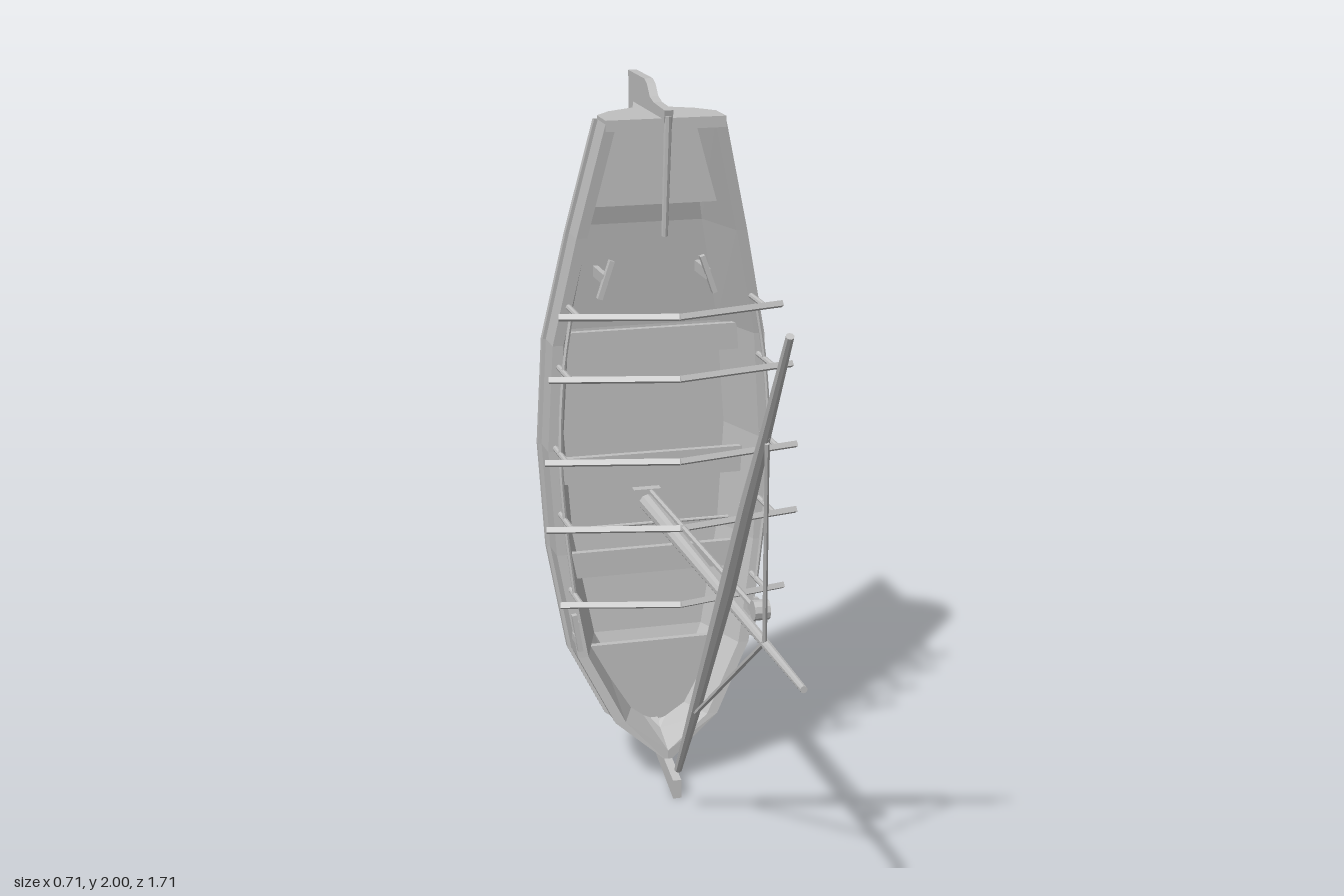
import * as THREE from 'three';

const V = (x, y, z) => new THREE.Vector3(x, y, z);
const wood = new THREE.MeshStandardMaterial({ color: 0xc0c0c0, side: THREE.DoubleSide, flatShading: true });
wood.name = 'grey wood';

// Hull stations: y, rail half width, rail z, upper chine x z, lower chine x z, keel z, floor half width, floor z
const STATIONS = [
  [0.2, 0.15, -0.505, 0.125, -0.65, 0.07, -0.73, -0.795, 0.06, -0.66],
  [0.4, 0.25, -0.53, 0.22, -0.68, 0.14, -0.77, -0.85, 0.16, -0.72],
  [0.7, 0.3, -0.555, 0.27, -0.7, 0.18, -0.78, -0.853, 0.215, -0.74],
  [1.0, 0.317, -0.562, 0.285, -0.71, 0.19, -0.785, -0.853, 0.235, -0.74],
  [1.3, 0.3, -0.556, 0.265, -0.71, 0.18, -0.785, -0.852, 0.215, -0.74],
  [1.6, 0.238, -0.517, 0.2, -0.67, 0.12, -0.76, -0.847, 0.16, -0.7],
  [1.91, 0.165, -0.47, 0.12, -0.63, 0.04, -0.68, -0.84, 0.1, -0.61],
];

// Skin between matching rings of points
function loft(rings) {
  const pos = [];
  for (let i = 0; i + 1 < rings.length; i++) {
    const a = rings[i], b = rings[i + 1], n = a.length;
    for (let j = 0; j < n; j++) {
      const k = (j + 1) % n;
      for (const p of [a[j], b[j], b[k], a[j], b[k], a[k]]) pos.push(p.x, p.y, p.z);
    }
  }
  const g = new THREE.BufferGeometry();
  g.setAttribute('position', new THREE.Float32BufferAttribute(pos, 3));
  g.computeVertexNormals();
  return g;
}

// Interpolated rail half width and height at a station y
function railAt(y) {
  let i = 0;
  while (i < STATIONS.length - 2 && STATIONS[i + 1][0] < y) i++;
  const a = STATIONS[i], b = STATIONS[i + 1], t = (y - a[0]) / (b[0] - a[0]);
  return { w: a[1] + (b[1] - a[1]) * t, z: a[2] + (b[2] - a[2]) * t };
}

export function createModel() {
  const model = new THREE.Group();
  model.name = 'sailingBoat';
  const add = (name, geometry) => {
    const mesh = new THREE.Mesh(geometry, wood);
    mesh.name = name;
    model.add(mesh);
    return mesh;
  };
  // Round spar between two points
  const rod = (name, a, b, ra, rb = ra, sides = 8) => {
    const mesh = add(name, new THREE.CylinderGeometry(rb, ra, a.distanceTo(b), sides));
    mesh.position.copy(a).add(b).multiplyScalar(0.5);
    mesh.quaternion.setFromUnitVectors(V(0, 1, 0), b.clone().sub(a).normalize());
    return mesh;
  };
  const box = (name, w, h, d, x, y, z) => {
    const mesh = add(name, new THREE.BoxGeometry(w, h, d));
    mesh.position.set(x, y, z);
    return mesh;
  };
  const shape = pts => new THREE.Shape(pts.map(p => new THREE.Vector2(...p)));
  // Centreline plate drawn as (z, y) points
  const plate = (name, pts, t) => {
    const g = new THREE.ExtrudeGeometry(shape(pts), { depth: t, bevelEnabled: false });
    add(name, g.rotateY(-Math.PI / 2).translate(t / 2, 0, 0));
  };
  // Flat deck, mirrored from its half outline (x, y)
  const deck = (name, half, z) => {
    const pts = [...half, ...half.map(([x, y]) => [-x, y]).reverse()];
    add(name, new THREE.ExtrudeGeometry(shape(pts), { depth: 0.02, bevelEnabled: false }).translate(0, 0, z - 0.02));
  };

  // Hull shell: outer skin, rail, inner wall and floor in one closed ring
  const ring = half => [...half, ...half.map(p => V(-p.x, p.y, p.z)).reverse()];
  const hullRings = STATIONS.map(([y, w, z, x1, z1, x2, z2, k, fx, fz]) => ring([
    V(0, y, fz), V(fx, y, fz), V(w - 0.03, y, z), V(w, y, z), V(w, y, z - 0.1),
    V(x1, y, z1), V(x2, y, z2), V(0, y, k)]));
  hullRings.unshift(ring([
    V(0, 0.15, -0.6), V(0, 0.14, -0.58), V(0, 0.105, -0.49), V(0, 0.07, -0.49), V(0, 0.085, -0.595),
    V(0, 0.1, -0.645), V(0, 0.14, -0.72), V(0, 0.19, -0.785)]));
  add('hull', loft(hullRings));

  // Rubbing strakes below the rail
  for (const s of [-1, 1]) {
    const sections = STATIONS.map(([y, w, z]) => [
      V(s * (w - 0.005), y, z - 0.09), V(s * (w + 0.01), y, z - 0.09),
      V(s * (w + 0.01), y, z - 0.11), V(s * (w - 0.005), y, z - 0.11)]);
    sections.unshift([V(0, 0.1, -0.585), V(0, 0.075, -0.585), V(0, 0.075, -0.605), V(0, 0.1, -0.605)]);
    add('strake', loft(sections));
  }

  // Transom closing the stern
  const transom = [[0.165, -0.47], [0.165, -0.57], [0.12, -0.63], [0.04, -0.68], [0, -0.83]];
  const tShape = shape([...transom, ...transom.map(([x, z]) => [-x, z]).reverse()]);
  add('transom', new THREE.ExtrudeGeometry(tShape, { depth: 0.03, bevelEnabled: false })
    .rotateX(Math.PI / 2).scale(1, -1, 1).translate(0, 1.89, 0).applyMatrix4(new THREE.Matrix4()));

  // Stem, keel and rudder plates
  plate('stem', [[-0.39, 0], [-0.6, 0.063], [-0.7, 0.11], [-0.79, 0.19], [-0.855, 0.4],
    [-0.83, 0.4], [-0.77, 0.22], [-0.69, 0.15], [-0.59, 0.105], [-0.39, 0.055]], 0.024);
  plate('keel', [[-0.855, 0.4], [-0.84, 1.92], [-0.8, 1.92], [-0.82, 0.4]], 0.02);
  plate('rudder', [[-0.84, 2], [-0.66, 2], [-0.63, 1.99], [-0.6, 1.96], [-0.56, 1.95], [-0.44, 1.945],
    [-0.45, 1.91], [-0.62, 1.92], [-0.66, 1.9], [-0.7, 1.75], [-0.842, 1.6]], 0.024);
  rod('tiller', V(0, 1.93, -0.45), V(0, 1.6, -0.495), 0.011, 0.009);

  // Decks and thwarts
  deck('bowDeck', [[0, 0.1], [0.125, 0.2], [0.222, 0.4]], -0.61);
  deck('sternDeck', [[0.135, 1.9], [0.187, 1.67]], -0.585);
  for (const [y, w] of [[1.275, 0.5], [0.915, 0.56], [0.635, 0.5]]) box('thwart', w, 0.075, 0.02, 0, y, -0.65);
  rod('crossRod', V(-0.22, 0.745, -0.64), V(0.22, 0.745, -0.64), 0.005);

  // Awning frames: posts on the rails with peaked crossbars
  const frames = [[1.41, 0.31], [1.24, 0.34], [1.01, 0.355], [0.82, 0.355], [0.6, 0.32]];
  for (const s of [-1, 1]) {
    const side = [];
    for (const [y, w] of frames) {
      const r = railAt(y), x = s * (r.w - 0.02);
      rod('awningPost', V(x, y, r.z - 0.03), V(x, y, -0.415), 0.008);
      rod('awningBar', V(s * w, y, -0.425), V(0, y, -0.343), 0.011, 0.011, 4);
      side.push(V(x, y, -0.5));
    }
    add('awningRail', new THREE.TubeGeometry(new THREE.CatmullRomCurve3(side), 16, 0.006, 6));

    // Cleats near the bow and stern
    box('bowCleat', 0.014, 0.11, 0.018, s * 0.257, 0.485, -0.505).rotation.z = -s * 0.15;
    for (const y of [0.465, 0.505]) box('cleatFoot', 0.014, 0.02, 0.04, s * 0.257, y, -0.525);
    box('sternCleat', 0.014, 0.11, 0.02, s * 0.145, 1.47, -0.58).rotation.z = s * 0.33;
    box('cleatFoot', 0.014, 0.03, 0.12, s * 0.145, 1.47, -0.64);
  }

  // Mast with halyard and block
  rod('mast', V(0, 0.785, -0.75), V(0, 0.776, 0.77), 0.026, 0.009, 10);
  rod('halyard', V(0.01, 0.818, -0.7), V(0.01, 0.825, 0.33), 0.008, 0.008, 6);
  rod('block', V(0, 0.825, 0.35), V(0.04, 0.825, 0.35), 0.026, 0.026, 10);
  box('mastStep', 0.08, 0.08, 0.03, 0, 0.785, -0.72);

  // Yard: slightly bowed spar, thicker in the middle
  const yard = [[-0.03, 0.145, -0.265, 0.011], [-0.036, 0.41, -0.06, 0.017], [-0.042, 0.87, 0.275, 0.023],
    [-0.052, 1.14, 0.475, 0.02], [-0.058, 1.36, 0.64, 0.015], [-0.065, 1.64, 0.845, 0.01]];
  for (let i = 0; i + 1 < yard.length; i++) {
    const [a, b] = [yard[i], yard[i + 1]];
    rod('yard', V(a[0], a[1], a[2]), V(b[0], b[1], b[2]), a[3], b[3]);
  }

  // Bridle ropes from the mast to the yard
  const hitch = V(-0.005, 0.785, 0.47);
  rod('bridle', hitch, V(-0.055, 1.34, 0.645), 0.006, 0.006, 6);
  rod('bridle', hitch, V(-0.036, 0.4, -0.05), 0.007, 0.007, 6);
  return model;
}
